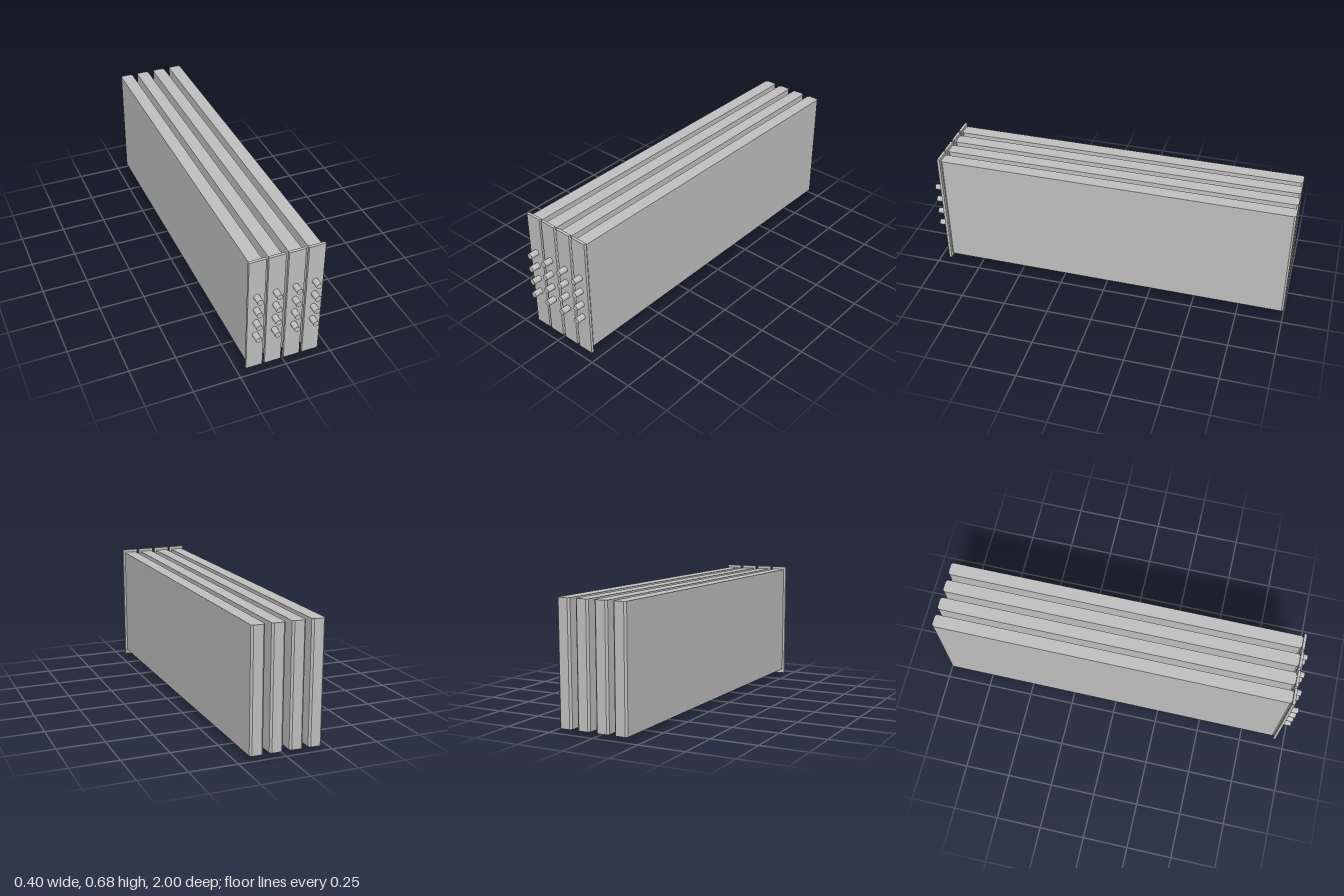
import * as THREE from 'three';

const grey = new THREE.MeshStandardMaterial({ color: 0xc0c0c0 });
grey.name = 'light grey';

function add(parent, name, geometry, x, y, z) {
  const mesh = new THREE.Mesh(geometry, grey);
  mesh.name = name;
  mesh.position.set(x, y, z);
  parent.add(mesh);
}

// Long slab with its four upright edges chamfered, standing on y = 0
function slabGeometry(width, height, depth, cut) {
  const x = width / 2, z = depth / 2;
  const outline = new THREE.Shape([
    [-x + cut, -z], [x - cut, -z], [x, -z + cut], [x, z - cut],
    [x - cut, z], [-x + cut, z], [-x, z - cut], [-x, -z + cut],
  ].map(([a, b]) => new THREE.Vector2(a, b)));
  return new THREE.ExtrudeGeometry(outline, { depth: height, bevelEnabled: false }).rotateX(-Math.PI / 2);
}

export function createModel() {
  const model = new THREE.Group();
  model.name = 'moduleRack';

  const slab = slabGeometry(0.071, 0.639, 1.938, 0.01);
  const plate = new THREE.BoxGeometry(0.089, 0.682, 0.015);
  const peg = new THREE.CylinderGeometry(0.016, 0.016, 0.054, 32).rotateX(Math.PI / 2);

  // Four identical modules side by side
  for (const x of [-0.1555, -0.0535, 0.0515, 0.1555]) {
    const unit = new THREE.Group();
    unit.name = 'module';
    unit.position.x = x;
    add(unit, 'body', slab, 0, 0.027, -0.031);
    add(unit, 'frontPlate', plate, 0, 0.341, 0.9455);
    // Column of round pegs on the front plate
    for (let i = 0; i < 4; i++) add(unit, 'peg', peg, 0, 0.219 + i * 0.0817, 0.973);
    model.add(unit);
  }
  return model;
}
